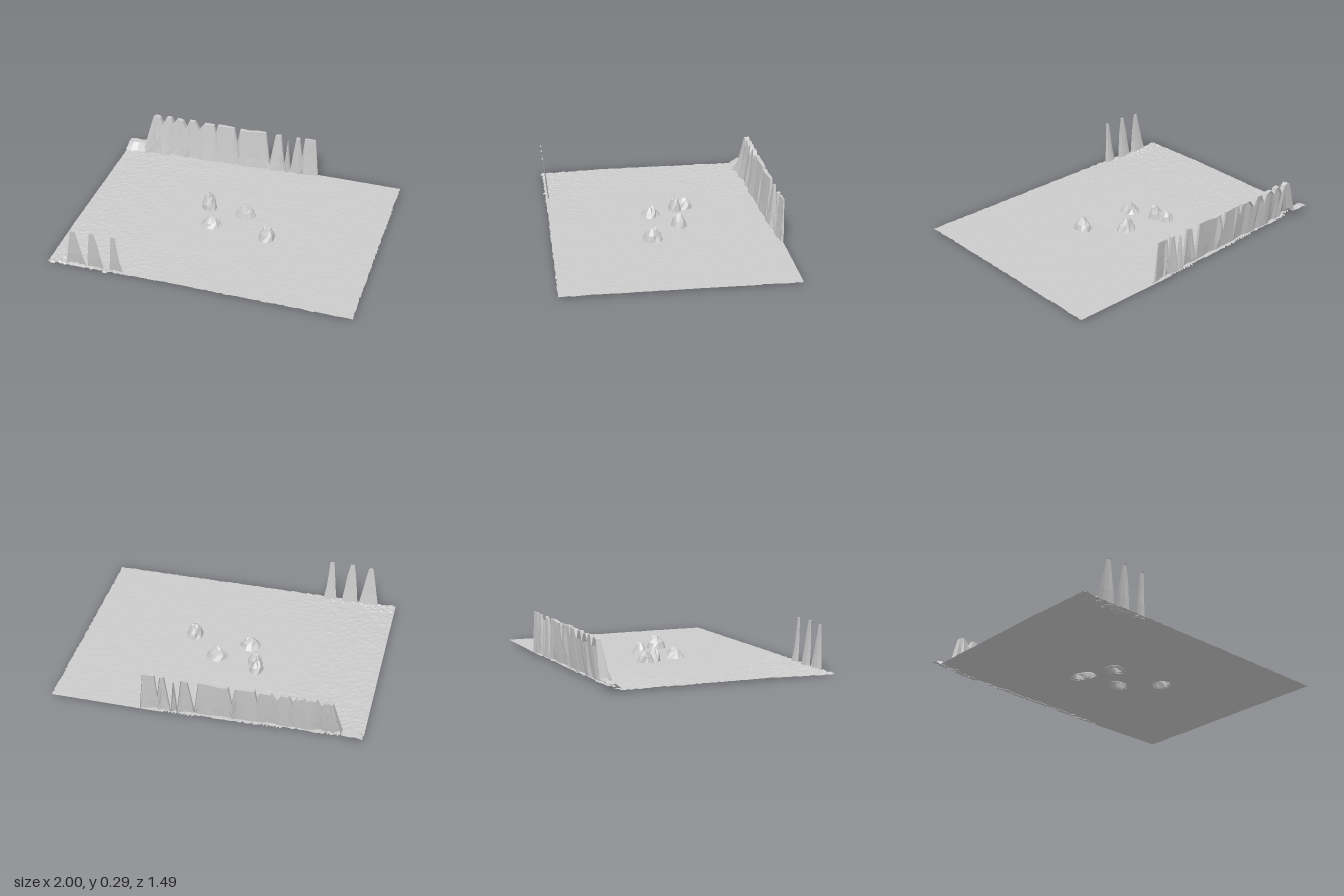
import * as THREE from 'three';

const GROUND = 0.02;
const material = new THREE.MeshStandardMaterial({ color: 0xcccccc, flatShading: true, side: THREE.DoubleSide });

// repeatable jitter in the range -1..1
let seed = 7;
function jitter(amount = 1) {
  seed = (seed * 16807) % 2147483647;
  return (seed / 2147483647 * 2 - 1) * amount;
}

// faceted surface through rows of points; keep(x, z) may leave out faces
function sheet(name, rows, keep = () => true) {
  const out = [];
  const tri = (a, b, c) => {
    const x = (a[0] + b[0] + c[0]) / 3, z = (a[2] + b[2] + c[2]) / 3;
    if (keep(x, z)) out.push(...a, ...b, ...c);
  };
  for (let i = 0; i < rows.length - 1; i++) {
    for (let j = 0; j < rows[i].length - 1; j++) {
      const a = rows[i][j], b = rows[i + 1][j], c = rows[i][j + 1], d = rows[i + 1][j + 1];
      tri(a, b, c);
      tri(c, b, d);
    }
  }
  const geometry = new THREE.BufferGeometry();
  geometry.setAttribute('position', new THREE.Float32BufferAttribute(out, 3));
  geometry.computeVertexNormals();
  const mesh = new THREE.Mesh(geometry, material);
  mesh.name = name;
  return mesh;
}

// rocks: centre x, centre z, radius in x, radius in z, top height
const ROCKS = [
  [-0.22, -0.19, 0.052, 0.06, 0.1],
  [-0.195, -0.125, 0.055, 0.05, 0.11],
  [0.06, -0.115, 0.07, 0.055, 0.11],
  [-0.125, 0.05, 0.068, 0.062, 0.09],
  [0.265, 0.08, 0.06, 0.07, 0.11],
];

// cliff skyline: x, height
const SKYLINE = [
  [-1, 0.06], [-0.96, 0.07], [-0.92, 0.065], [-0.87, 0.07], [-0.81, 0.29], [-0.785, 0.3], [-0.76, 0.29],
  [-0.74, 0.24], [-0.71, 0.3], [-0.675, 0.3], [-0.66, 0.26], [-0.63, 0.3], [-0.59, 0.29], [-0.565, 0.24],
  [-0.54, 0.3], [-0.5, 0.3], [-0.47, 0.24], [-0.43, 0.295], [-0.36, 0.295], [-0.345, 0.23], [-0.33, 0.3],
  [-0.27, 0.3], [-0.21, 0.295], [-0.19, 0.18], [-0.165, 0.295], [-0.11, 0.29], [-0.04, 0.3], [0.02, 0.3],
  [0.05, 0.06], [0.09, 0.29], [0.13, 0.3], [0.16, 0.03], [0.18, 0.27], [0.2, 0.03], [0.24, 0.3],
  [0.265, 0.295], [0.283, 0.14], [0.3, 0.3], [0.375, 0.3], [0.4, 0.02],
];

const cliffFoot = x => x < -0.86 ? -0.645 : -0.67 - 0.05 * (x + 0.86) / 1.26;

function buildGround() {
  const rows = [];
  const nx = 96, nz = 72;
  for (let i = 0; i <= nz; i++) {
    const row = [];
    for (let j = 0; j <= nx; j++) {
      let x = -1 + 1.985 * j / nx, z = -0.74 + 1.47 * i / nz;
      // rougher on the left and along the edges, levelled around the middle
      const level = x > -0.47 && x < 0.1 && Math.abs(z) < 0.38;
      const rough = level ? 0.0003 : 0.0009 + 0.0028 * Math.max(0, -x) * (0.3 + Math.abs(z));
      const sink = 0.01 * Math.max(0, -x - 0.3) * Math.max(0, z - 0.3) / 0.28;
      const y = GROUND + (level ? 0.001 : 0) - sink + jitter(rough);
      x += j === 0 ? 0 : jitter(0.005);
      z += i === 0 ? 0 : jitter(0.005);
      row.push([x, Math.max(0, y), z]);
    }
    rows.push(row);
  }
  // left open beneath the hollow rocks and the cliff
  return sheet('ground', rows, (x, z) => {
    if (x < 0.38 && z < cliffFoot(x) - 0.02) return false;
    return !ROCKS.some(([cx, cz, rx, rz]) => ((x - cx) / rx) ** 2 + ((z - cz) / rz) ** 2 < 0.65);
  });
}

function buildCliff() {
  const rows = [[], [], [], [], []];
  for (const [x, h] of SKYLINE) {
    const foot = cliffFoot(x) + jitter(0.012);
    const lip = THREE.MathUtils.lerp(foot, -0.745, 0.55) + jitter(0.006);
    const rise = h - GROUND;
    rows[0].push([x, h, -0.745]);
    rows[1].push([x, h, lip]);
    rows[2].push([x + jitter(0.006), GROUND + rise * 0.6, THREE.MathUtils.lerp(lip, foot, 0.35)]);
    rows[3].push([x + jitter(0.008), GROUND + rise * 0.25, THREE.MathUtils.lerp(lip, foot, 0.7)]);
    rows[4].push([x, GROUND - 0.004, foot]);
  }
  return sheet('cliff', rows);
}

// tapered blades standing on the front edge
function buildSpire(x, width, top) {
  const rows = [];
  for (const [t, z, taper] of [[0, 0.705, 1], [0.3, 0.718, 0.75], [0.7, 0.73, 0.48], [1, 0.738, 0.28], [1, 0.746, 0.22]]) {
    rows.push([-1, -0.35, 0.35, 1].map(s => [
      x + s * width * taper / 2 + jitter(0.004),
      0.012 + t * (top - 0.012),
      z + (Math.abs(s) === 1 ? 0.008 * (1 - t) : 0),
    ]));
  }
  return sheet('spire', rows);
}

function buildRock([cx, cz, rx, rz, top]) {
  const sides = 10;
  const rows = [[0.02, 1], [0.38, 0.95], [0.7, 0.55], [1, 0]].map(([r, t], ring) => {
    const row = [];
    for (let j = 0; j < sides; j++) {
      const a = j / sides * Math.PI * 2;
      const k = r * (1 + jitter(0.16));
      const y = GROUND - 0.003 + (top - GROUND) * t * (ring === 1 || ring === 2 ? 0.88 + jitter(0.16) : 1);
      row.push([cx + Math.cos(a) * rx * k, y, cz - Math.sin(a) * rz * k]);
    }
    row.push(row[0]);
    return row;
  });
  return sheet('rock', rows);
}

// low stone rubble scattered over the front left corner
function buildRubble() {
  const group = new THREE.Group();
  group.name = 'rubble';
  for (let i = 0; i < 24; i++) {
    const x = -0.76 + jitter(0.22), z = 0.69 + jitter(0.035), r = 0.014 + Math.abs(jitter(0.012));
    const stone = new THREE.Mesh(new THREE.ConeGeometry(r, 0.012, 5, 1, true), material);
    stone.name = 'stone';
    stone.position.set(x, 0.016, z);
    stone.rotation.y = jitter(3);
    group.add(stone);
  }
  return group;
}

export function createModel() {
  seed = 7;
  const model = new THREE.Group();
  model.name = 'rockyTerrain';
  model.add(buildGround(), buildCliff(), buildRubble());
  for (const rock of ROCKS) model.add(buildRock(rock));
  for (const [x, width, top] of [[-0.81, 0.13, 0.29], [-0.68, 0.11, 0.3], [-0.54, 0.09, 0.3]]) {
    model.add(buildSpire(x, width, top));
  }
  return model;
}
